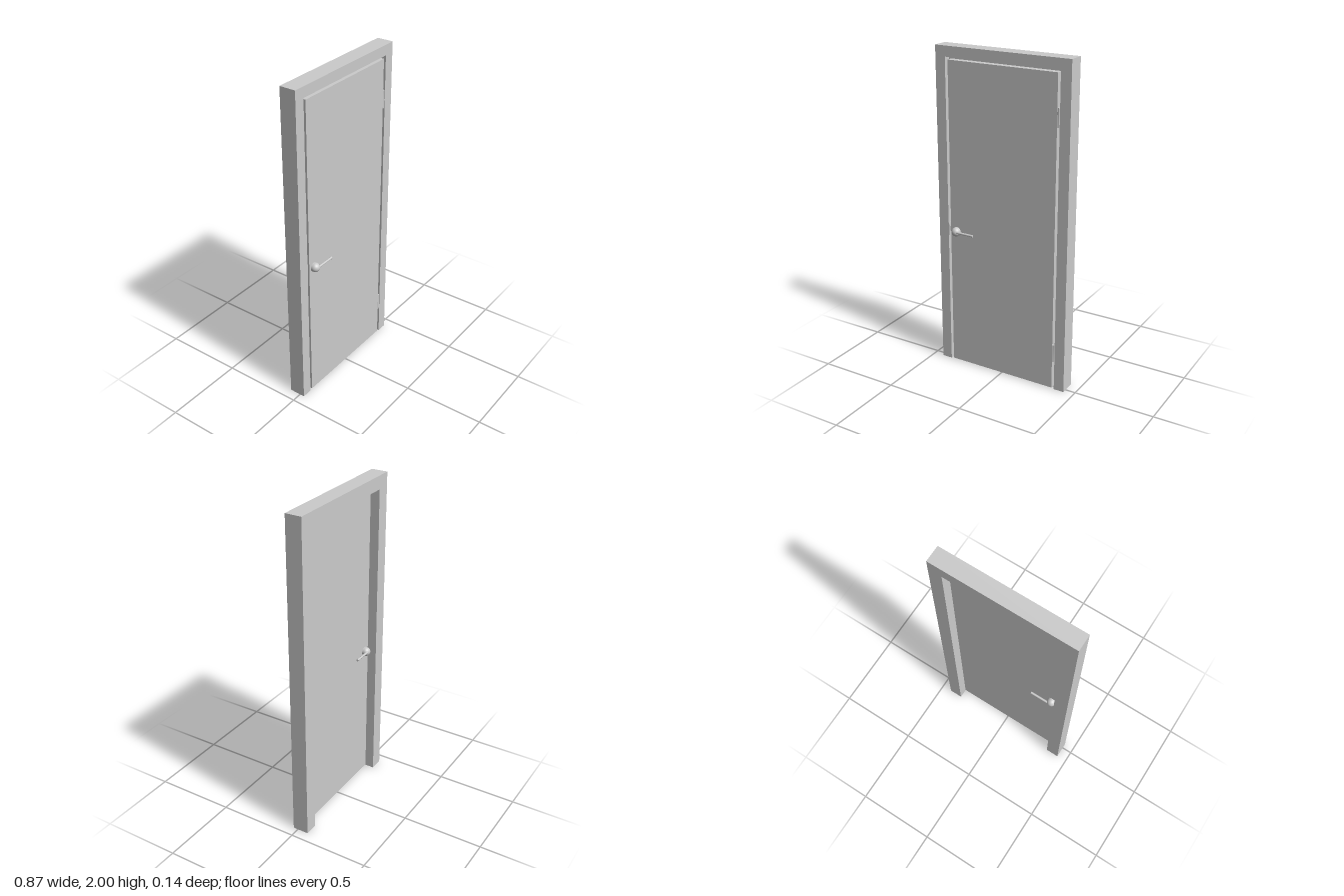
import * as THREE from 'three';

const grey = new THREE.MeshStandardMaterial({ color: 0xcccccc });

function add(parent, name, geometry, x = 0, y = 0, z = 0) {
  const mesh = new THREE.Mesh(geometry, grey);
  mesh.name = name;
  mesh.position.set(x, y, z);
  parent.add(mesh);
  return mesh;
}

// Upside-down U: outer and inner half widths and heights, extruded from z0 to z1
function portal(outerX, outerY, innerX, innerY, z0, z1) {
  const shape = new THREE.Shape([
    [-outerX, 0], [-innerX, 0], [-innerX, innerY], [innerX, innerY],
    [innerX, 0], [outerX, 0], [outerX, outerY], [-outerX, outerY],
  ].map(([x, y]) => new THREE.Vector2(x, y)));
  return new THREE.ExtrudeGeometry(shape, { depth: z1 - z0, bevelEnabled: false }).translate(0, 0, z0);
}

// Round knob with a straight lever, pointing out along +z
function makeHandle(name) {
  const handle = new THREE.Group();
  handle.name = name;
  add(handle, 'knob', new THREE.SphereGeometry(0.028, 24, 16), 0, 0, 0.01);
  const neck = add(handle, 'rose', new THREE.CylinderGeometry(0.028, 0.028, 0.012, 24), 0, 0, 0.004);
  neck.rotation.x = Math.PI / 2;
  const lever = add(handle, 'lever', new THREE.CylinderGeometry(0.007, 0.007, 0.13, 16), 0.065, 0.003, 0.027);
  lever.rotation.z = Math.PI / 2;
  return handle;
}

export function createModel() {
  const model = new THREE.Group();
  model.name = 'door';

  // Frame and the narrower stop the door closes against
  add(model, 'frame', portal(0.436, 2, 0.371, 1.937, -0.07, 0.03));
  add(model, 'doorStop', portal(0.371, 1.937, 0.352, 1.919, -0.07, -0.012));

  // Door leaf
  const front = 0.029, back = -0.012;
  add(model, 'doorLeaf', new THREE.BoxGeometry(0.708, 1.917, front - back), 0, 0.9635, (front + back) / 2);

  // Handles on both faces
  const frontHandle = makeHandle('frontHandle');
  frontHandle.position.set(-0.312, 0.885, front);
  const backHandle = makeHandle('backHandle');
  backHandle.position.set(-0.312, 0.885, back);
  backHandle.scale.z = -1;
  model.add(frontHandle, backHandle);

  // Hinges in the gap on one side, latch on the other
  for (const y of [0.24, 1.675]) {
    const hinge = new THREE.Group();
    hinge.name = 'hinge';
    hinge.position.set(0.3625, y, 0);
    add(hinge, 'barrel', new THREE.CylinderGeometry(0.008, 0.008, 0.11, 16), 0, 0, 0.023);
    add(hinge, 'leaf', new THREE.BoxGeometry(0.004, 0.11, 0.03), 0, 0, 0.005);
    model.add(hinge);
  }
  add(model, 'latchPlate', new THREE.BoxGeometry(0.004, 0.08, 0.03), -0.369, 0.89, 0.015);
  add(model, 'latchBolt', new THREE.BoxGeometry(0.017, 0.03, 0.016), -0.3625, 0.89, 0.01);

  return model;
}
